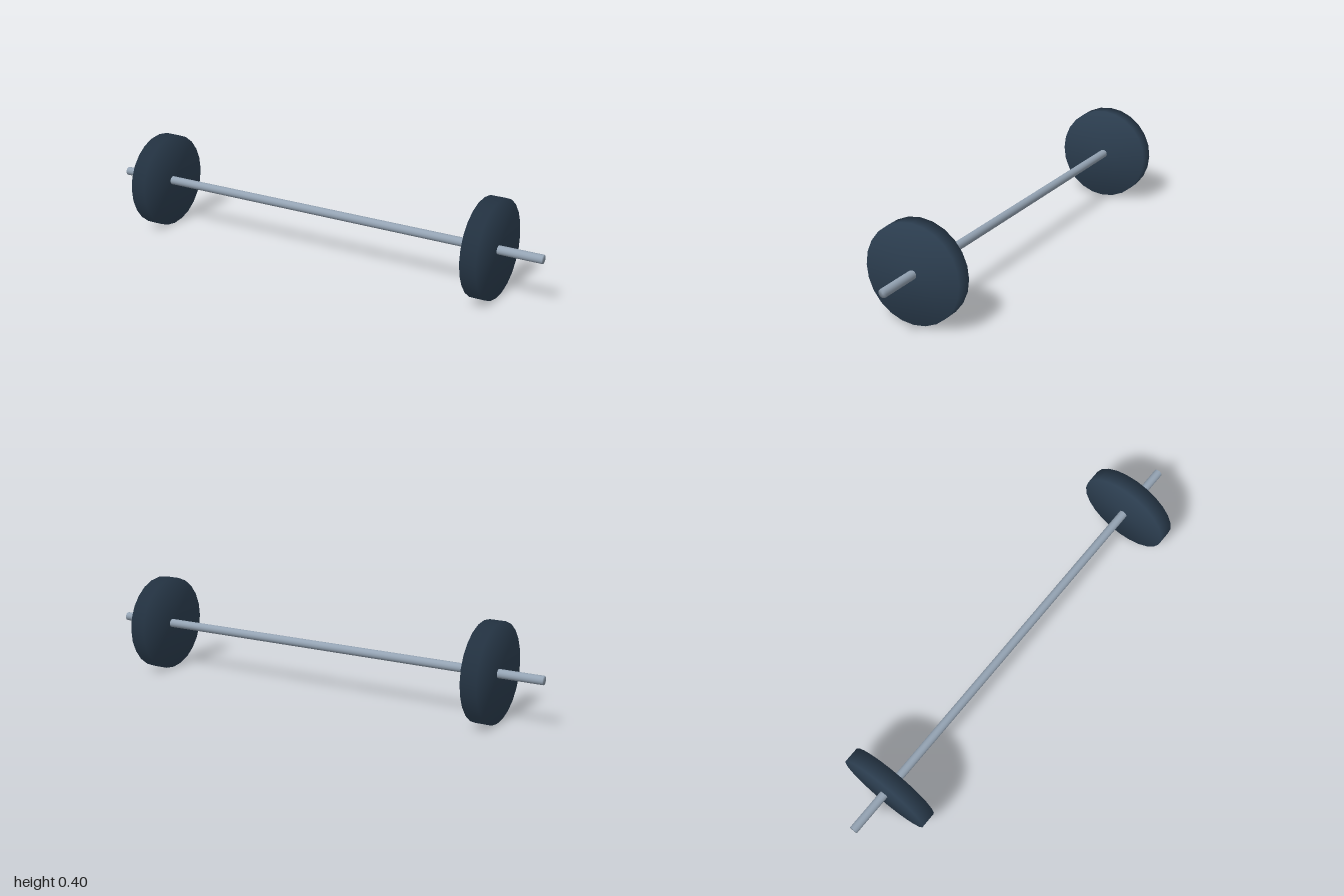
import * as THREE from 'three';
import { mergeVertices } from 'three/addons/utils/BufferGeometryUtils.js';

// Cylinder along x, with normals blended across its edges
function softCylinder(radius, length, sides) {
  const geometry = new THREE.CylinderGeometry(radius, radius, length, sides);
  geometry.rotateZ(Math.PI / 2);
  geometry.deleteAttribute('normal');
  geometry.deleteAttribute('uv');
  const merged = mergeVertices(geometry);
  merged.computeVertexNormals();
  return merged;
}

export function createModel() {
  const group = new THREE.Group();
  group.name = 'barbell';
  const steel = new THREE.MeshStandardMaterial({ color: 0x94a3b3 });
  const iron = new THREE.MeshStandardMaterial({ color: 0x2c3e50 });
  const axisHeight = 0.2;

  // Long thin bar
  const bar = new THREE.Mesh(softCylinder(0.018, 2, 16), steel);
  bar.name = 'bar';
  bar.position.y = axisHeight;
  group.add(bar);

  // One weight plate near each end
  const plateGeometry = softCylinder(0.2, 0.067, 24);
  for (const side of [1, -1]) {
    const plate = new THREE.Mesh(plateGeometry, iron);
    plate.name = side > 0 ? 'leftPlate' : 'rightPlate';
    plate.position.set(side * 0.783, axisHeight, 0);
    group.add(plate);
  }

  return group;
}
